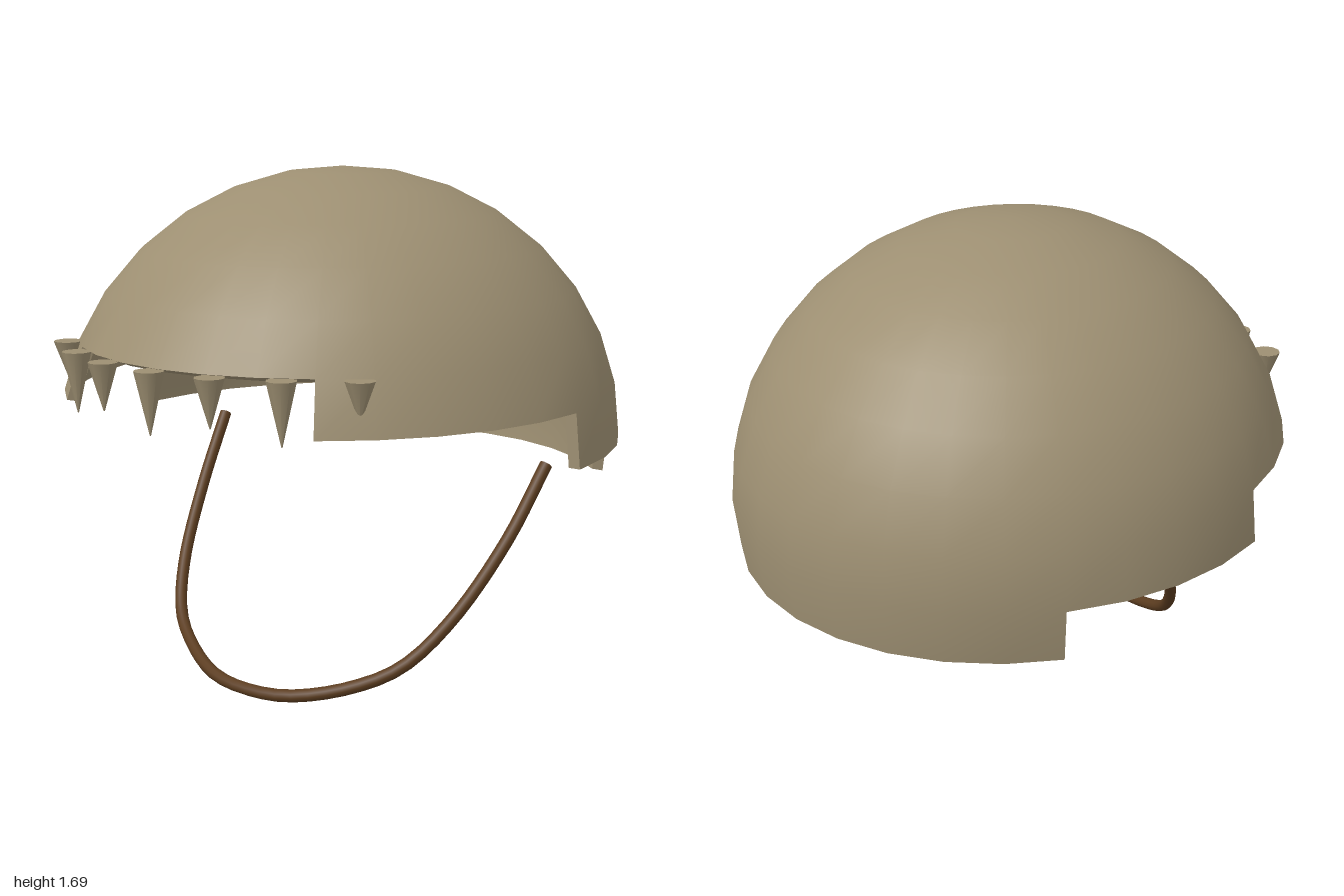
import * as THREE from 'three';
import { toCreasedNormals } from 'three/addons/utils/BufferGeometryUtils.js';

const COLUMNS = 32;
const STEP = (Math.PI * 2) / COLUMNS;
const POLE_ROW = 8;
const EQUATOR_Y = 0.775;

// Rim height, in rows above the equator, for each column (column 0 starts at the front)
function rimRow(column) {
  const c = (column + COLUMNS) % COLUMNS;
  const fromFront = Math.min(c + 0.5, COLUMNS - c - 0.5);
  if (fromFront < 3) return 2;   // brow opening
  if (fromFront < 8) return 1;   // temples
  if (fromFront < 12) return 0;  // sides
  return -1;                     // neck guard
}

// Thick half-ellipsoid with a stepped rim
function shellGeometry() {
  const positions = [];
  const point = (thickness) => (column, row) => {
    const around = column * STEP, up = row * STEP;
    return [
      (0.94 - thickness) * Math.cos(up) * Math.sin(around),
      EQUATOR_Y + (0.92 - thickness) * Math.sin(up),
      (1 - thickness) * Math.cos(up) * Math.cos(around),
    ];
  };
  const outer = point(0), inner = point(0.04);
  const tri = (a, b, c) => positions.push(...a, ...b, ...c);
  const quad = (a, b, c, d) => { tri(a, b, c); tri(a, c, d); };

  for (let i = 0; i < COLUMNS; i++) {
    const rim = rimRow(i), previous = rimRow(i - 1);

    // Outer and inner skins
    for (let r = rim; r < POLE_ROW - 1; r++) {
      quad(outer(i, r), outer(i + 1, r), outer(i + 1, r + 1), outer(i, r + 1));
      quad(inner(i + 1, r), inner(i, r), inner(i, r + 1), inner(i + 1, r + 1));
    }
    const r = POLE_ROW - 1;
    tri(outer(i, r), outer(i + 1, r), outer(0, POLE_ROW));
    tri(inner(i + 1, r), inner(i, r), inner(0, POLE_ROW));

    // Underside of the rim
    quad(outer(i, rim), inner(i, rim), inner(i + 1, rim), outer(i + 1, rim));

    // Upright edges where the rim steps
    for (let s = Math.min(rim, previous); s < Math.max(rim, previous); s++) {
      const edge = [outer(i, s), outer(i, s + 1), inner(i, s + 1), inner(i, s)];
      if (previous < rim) edge.reverse();
      quad(...edge);
    }
  }
  const geometry = new THREE.BufferGeometry();
  geometry.setAttribute('position', new THREE.Float32BufferAttribute(positions, 3));
  return toCreasedNormals(geometry, Math.PI / 4);
}

export function createModel() {
  const group = new THREE.Group();
  const bone = new THREE.MeshStandardMaterial({ name: 'bone tan', color: 0x9d8f72 });
  const leather = new THREE.MeshStandardMaterial({ name: 'brown leather', color: 0x5c3d20 });

  const add = (name, geometry, material) => {
    const mesh = new THREE.Mesh(geometry, material);
    mesh.name = name;
    group.add(mesh);
    return mesh;
  };

  // Helmet dome
  add('helmetShell', shellGeometry(), bone);

  // Teeth along the brow: x, z, length
  const teeth = [
    [-0.62, 0.7, 0.125], [-0.44, 0.835, 0.2], [-0.23, 0.925, 0.155], [-0.01, 0.95, 0.2],
    [0.21, 0.925, 0.155], [0.41, 0.835, 0.2], [0.595, 0.7, 0.125],
  ];
  for (const [x, z, length] of teeth) {
    const cone = new THREE.CylinderGeometry(0.048, 0.002, length, 10);
    add('browTooth', cone, bone).position.set(x, 1.125 - length / 2, z);
  }

  // Chin strap: one side as offset from its middle, height, depth, then mirrored
  const side = [
    [0.693, 0.75, -0.09], [0.653, 0.52, 0.085], [0.573, 0.29, 0.28],
    [0.473, 0.15, 0.41], [0.343, 0.08, 0.5], [0.163, 0.035, 0.585],
  ];
  const middle = 0.073;
  const path = [
    ...side.map(([x, y, z]) => new THREE.Vector3(middle - x, y, z)),
    new THREE.Vector3(middle, 0.025, 0.605),
    ...side.map(([x, y, z]) => new THREE.Vector3(middle + x, y, z)).reverse(),
  ];
  const curve = new THREE.CatmullRomCurve3(path);
  add('chinStrap', new THREE.TubeGeometry(curve, 48, 0.021, 10), leather);

  // Strap end caps
  for (const t of [0, 1]) {
    const cap = add('strapEnd', new THREE.CircleGeometry(0.021, 10), leather);
    const outward = curve.getTangent(t).multiplyScalar(t ? 1 : -1);
    cap.position.copy(curve.getPoint(t));
    cap.quaternion.setFromUnitVectors(new THREE.Vector3(0, 0, 1), outward);
  }
  return group;
}
